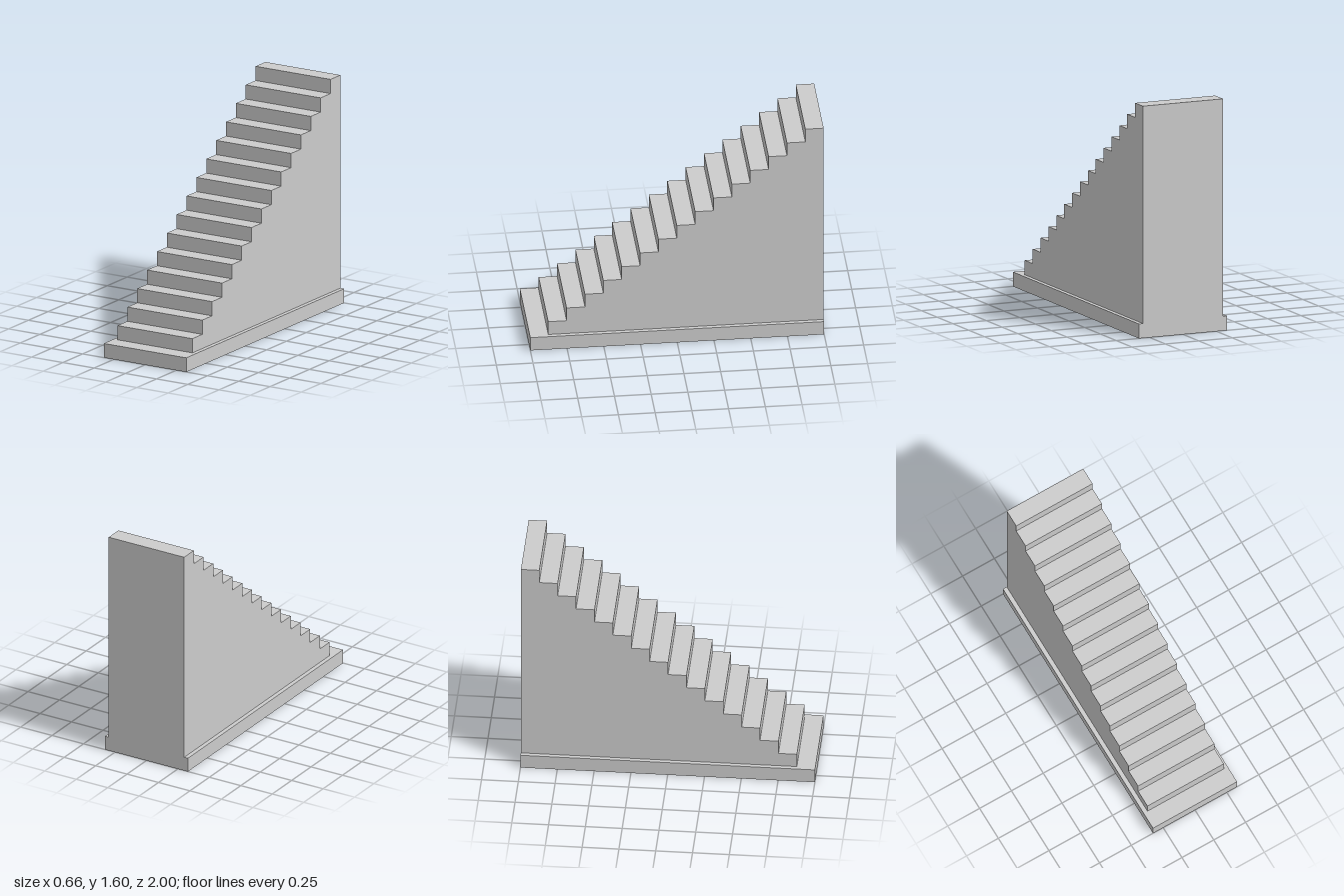
import * as THREE from 'three';

const STEPS = 16, RISE = 0.1, TREAD = 0.125;
const FLIGHT_WIDTH = 0.6, BASE_WIDTH = 0.66, LENGTH = 2;

export function createModel() {
  const model = new THREE.Group();
  model.name = 'staircase';
  const material = new THREE.MeshStandardMaterial({ color: 0xcccccc, flatShading: true });

  // Wider plinth that doubles as the bottom step
  const base = new THREE.Mesh(new THREE.BoxGeometry(BASE_WIDTH, RISE, LENGTH), material);
  base.name = 'baseStep';
  base.position.y = RISE / 2;
  model.add(base);

  // Solid flight: stepped side profile (shape x = model z), extruded across the width
  const back = -LENGTH / 2;
  const profile = new THREE.Shape();
  profile.moveTo(back, RISE);
  for (let i = 1; i < STEPS; i++) {
    const z = LENGTH / 2 - i * TREAD;
    profile.lineTo(z, i * RISE);
    profile.lineTo(z, (i + 1) * RISE);
  }
  profile.lineTo(back, STEPS * RISE);
  profile.closePath();

  const geometry = new THREE.ExtrudeGeometry(profile, { depth: FLIGHT_WIDTH, bevelEnabled: false });
  geometry.translate(0, 0, -FLIGHT_WIDTH / 2);
  geometry.rotateY(-Math.PI / 2);
  const flight = new THREE.Mesh(geometry, material);
  flight.name = 'stepFlight';
  model.add(flight);

  return model;
}
